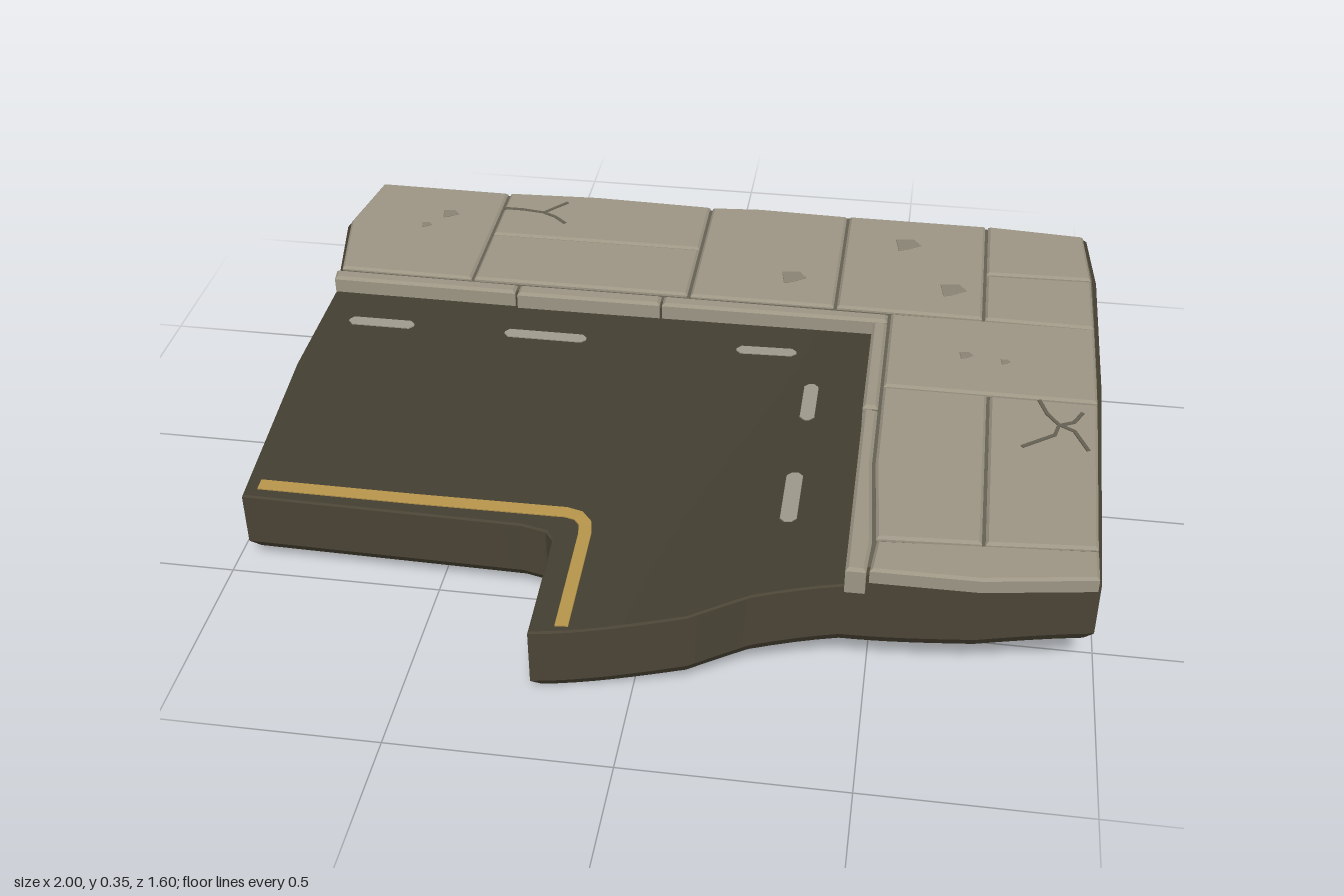
import * as THREE from 'three';
import { toCreasedNormals } from 'three/addons/utils/BufferGeometryUtils.js';

const MAX = 0.07;
const mat = (name, color) => {
  const m = new THREE.MeshStandardMaterial({ color });
  m.name = name;
  return m;
};
const ss = (v, a, b) => THREE.MathUtils.smoothstep(v, a, b);

// Height rules: the road sags towards the front, the pavement stays nearly level
const roadY = (x, z) => 0.29 - 0.03 * z - 0.087 * Math.max(0, z + 0.3) * ss(0.46 - x, 0, 0.68);
const walkY = (x, z) => 0.338 - 0.017 * z;
const underY = (x, z) => roadY(x, z) - 0.13 - 0.04 * ss(z, -0.5, 0.8) * ss(1 - x, 0, 0.55);
const shift = (f, d) => (x, z) => f(x, z) + d;

// Move an outline inwards by d, keeping its corners mitred
function inset(pts, d) {
  const n = pts.length;
  const normal = (a, b) => new THREE.Vector2(a.y - b.y, b.x - a.x).normalize();
  return pts.map((p, i) => {
    const n1 = normal(pts[(i + n - 1) % n], p), n2 = normal(p, pts[(i + 1) % n]);
    const k = d / Math.max(0.4, 1 + n1.dot(n2));
    return p.clone().add(n1.add(n2).multiplyScalar(k));
  });
}

// Solid between two height rules, from an [x, z] outline with bevelled rims.
// Material groups: 0 top, 1 sides and underside.
function plate(name, outline, top, bottom, bevel, materials, low = [0, 0]) {
  let pts = outline.map(([x, z]) => new THREE.Vector2(x, -z));
  if (THREE.ShapeUtils.area(pts) < 0) pts.reverse();
  const pos = [];
  const put = (p, y) => pos.push(p.x, y, -p.y);

  // Split the longest edge until triangles are small enough to follow the height rule
  const cap = (ring, f, flip) => {
    const split = (a, b, c) => {
      const e = [a.distanceTo(b), b.distanceTo(c), c.distanceTo(a)];
      const m = Math.max(...e);
      if (m > MAX) {
        if (e[1] === m) [a, b, c] = [b, c, a];
        else if (e[2] === m && e[0] !== m) [a, b, c] = [c, a, b];
        const h = a.clone().lerp(b, 0.5);
        split(a, h, c);
        split(h, b, c);
        return;
      }
      for (const p of flip ? [a, c, b] : [a, b, c]) put(p, f(p.x, -p.y));
    };
    for (const [a, b, c] of THREE.ShapeUtils.triangulateShape(ring, [])) split(ring[a], ring[b], ring[c]);
  };

  const topRing = inset(pts, bevel), lowRing = inset(pts, low[0]);
  cap(topRing, top, false);
  const topCount = pos.length / 3;
  const rings = [[lowRing, bottom], [pts, shift(bottom, low[1])], [pts, shift(top, -bevel)], [topRing, top]];
  for (let i = 0; i < pts.length; i++) {
    const j = (i + 1) % pts.length;
    let n = 1;
    while (topRing[i].distanceTo(topRing[j]) / n > MAX) n *= 2;
    for (let s = 0; s < n; s++) {
      for (let r = 0; r < 3; r++) {
        const at = ([ring, f], t) => {
          const p = ring[i].clone().lerp(ring[j], t);
          return [p, f(p.x, -p.y)];
        };
        const a = at(rings[r], s / n), b = at(rings[r], (s + 1) / n);
        const c = at(rings[r + 1], (s + 1) / n), d = at(rings[r + 1], s / n);
        for (const q of [a, b, c, a, c, d]) put(...q);
      }
    }
  }
  cap(lowRing, bottom, true);

  let geo = new THREE.BufferGeometry();
  geo.setAttribute('position', new THREE.Float32BufferAttribute(pos, 3));
  geo = toCreasedNormals(geo, 0.5);
  if (Array.isArray(materials)) {
    geo.clearGroups();
    geo.addGroup(0, topCount, 0);
    geo.addGroup(topCount, pos.length / 3 - topCount, 1);
  }
  const mesh = new THREE.Mesh(geo, materials);
  mesh.name = name;
  return mesh;
}

const rect = (x0, x1, z0, z1) => [[x0, z0], [x1, z0], [x1, z1], [x0, z1]];

// Outline of a band of given width along a path
function band(path, w) {
  const left = [], right = [];
  path.forEach(([x, z], i) => {
    const a = path[Math.max(0, i - 1)], b = path[Math.min(path.length - 1, i + 1)];
    const l = Math.hypot(b[0] - a[0], b[1] - a[1]);
    const nx = -(b[1] - a[1]) / l * w / 2, nz = (b[0] - a[0]) / l * w / 2;
    left.push([x + nx, z + nz]);
    right.unshift([x - nx, z - nz]);
  });
  return [...left, ...right];
}

export function createModel() {
  const asphalt = mat('asphalt', 0x433e31);
  const earth = mat('earth', 0x4a4435);
  const stone = mat('pavingStone', 0x9d9685);
  const joint = mat('stoneJoint', 0x646052);
  const chipped = mat('chippedStone', 0x898373);
  const white = mat('fadedWhitePaint', 0x9d988b);
  const yellow = mat('yellowPaint', 0xb4934a);

  const model = new THREE.Group();
  model.name = 'streetCorner';
  const group = (name) => {
    const g = new THREE.Group();
    g.name = name;
    model.add(g);
    return g;
  };

  // Road slab with earth sides and a notch at the front
  const outer = [[-1, -0.57], [-0.965, -0.79], [-0.6, -0.785], [-0.35, -0.8], [-0.02, -0.785], [0.1, -0.8],
    [0.7, -0.79], [0.98, -0.77], [1, -0.56], [1, -0.1], [0.98, 0.625], [0.73, 0.66]];
  model.add(plate('roadSlab', [...outer, [0.44, 0.66], [0.25, 0.7], [0.12, 0.755], [-0.22, 0.797], [-0.22, 0.52],
    [-0.24, 0.495], [-0.3, 0.482], [-0.96, 0.472], [-0.97, 0], [-0.95, -0.34]],
  roadY, underY, 0.004, [asphalt, earth], [0.02, 0.03]));

  // Raised L-shaped bed under the paving
  model.add(plate('pavementBed', [...outer, [0.452, 0.66], [0.452, -0.292], [-0.953, -0.292], [-0.955, -0.34]],
    shift(walkY, -0.01), shift(roadY, -0.01), 0.012, [joint, earth]));

  // Paving stones
  const paving = group('pavingStones');
  const stones = [
    [[-0.955, -0.778], [-0.6, -0.774], [-0.6, -0.332], [-0.945, -0.336], [-0.988, -0.57]],
    [[-0.592, -0.774], [-0.35, -0.785], [-0.036, -0.775], [-0.036, -0.557], [-0.592, -0.557]],
    rect(-0.592, -0.036, -0.55, -0.331),
    [[-0.028, -0.775], [0.1, -0.785], [0.338, -0.778], [0.338, -0.33], [-0.028, -0.33]],
    [[0.346, -0.778], [0.71, -0.776], [0.71, -0.326], [0.346, -0.329]],
    [[0.718, -0.776], [0.968, -0.758], [0.984, -0.545], [0.718, -0.537]],
    [[0.718, -0.53], [0.984, -0.538], [0.986, -0.322], [0.718, -0.326]],
    rect(0.484, 0.986, -0.316, -0.004),
    [[0.484, 0.004], [0.727, 0.004], [0.727, 0.549], [0.502, 0.562], [0.484, 0.3]],
    [[0.735, 0.004], [0.986, 0.004], [0.974, 0.53], [0.735, 0.548]],
    [[0.504, 0.57], [0.974, 0.538], [0.974, 0.63], [0.73, 0.668], [0.495, 0.669]],
  ];
  stones.forEach((s, i) => paving.add(
    plate('pavingStone', s, shift(walkY, (i % 3) * 0.0008), shift(walkY, -0.036), 0.006, stone)));

  // Kerb along the inner edge of the pavement
  const kerb = group('kerb');
  const kerbs = [
    [[-0.957, -0.327], [-0.475, -0.322], [-0.475, -0.285], [-0.952, -0.288]],
    [[-0.468, -0.322], [-0.1, -0.322], [-0.1, -0.281], [-0.468, -0.279]],
    [[-0.094, -0.322], [0.476, -0.318], [0.476, -0.283], [-0.094, -0.281]],
    rect(0.44, 0.476, -0.278, 0.085),
    [[0.442, 0.092], [0.476, 0.092], [0.476, 0.3], [0.494, 0.57], [0.488, 0.67], [0.444, 0.67]],
  ];
  for (const k of kerbs) kerb.add(plate('kerbStone', k, shift(walkY, -0.002), shift(roadY, -0.01), 0.007, stone));

  // Dashed white lane marks
  const marks = group('laneMarks');
  for (const [x, z, w, d] of [[-0.8, -0.176, 0.17, 0.028], [-0.375, -0.176, 0.21, 0.028], [0.185, -0.176, 0.15, 0.028],
    [0.31, 0.02, 0.035, 0.14], [0.303, 0.375, 0.038, 0.17]]) {
    const a = w / 2, b = d / 2, c = 0.011;
    marks.add(plate('laneMark', [[x - a + c, z - b], [x + a - c, z - b], [x + a, z - b + c], [x + a, z + b - c],
      [x + a - c, z + b], [x - a + c, z + b], [x - a, z + b - c], [x - a, z - b + c]],
    shift(roadY, 0.004), shift(roadY, -0.003), 0.001, white));
  }

  // Yellow edge line bending round the notch
  model.add(plate('yellowEdgeLine', band([[-0.93, 0.432], [-0.56, 0.434], [-0.205, 0.432], [-0.175, 0.44],
    [-0.156, 0.462], [-0.15, 0.495], [-0.15, 0.773]], 0.03),
  shift(roadY, 0.004), shift(roadY, -0.003), 0.001, yellow));

  // Cracks and chips in the stones
  const wear = group('stoneWear');
  const cracks = [
    [[-0.592, -0.688], [-0.54, -0.688], [-0.48, -0.68], [-0.425, -0.742]],
    [[-0.485, -0.682], [-0.445, -0.662], [-0.412, -0.632]],
    [[0.85, 0.008], [0.868, 0.06], [0.895, 0.1], [0.885, 0.14], [0.81, 0.195]],
    [[0.893, 0.098], [0.93, 0.12], [0.96, 0.19]],
    [[0.9, 0.1], [0.93, 0.085], [0.95, 0.045]],
  ];
  for (const c of cracks) wear.add(plate('crack', band(c, 0.009), shift(walkY, 0.003), shift(walkY, -0.002), 0.0005, joint));
  for (const [x, z, r] of [[-0.73, -0.64, 0.022], [-0.78, -0.575, 0.014], [0.51, -0.65, 0.034], [0.225, -0.45, 0.032],
    [0.635, -0.445, 0.034], [0.675, -0.155, 0.017], [0.77, -0.14, 0.012]]) {
    wear.add(plate('chip', [[x - r, z - r * 0.6], [x + r * 0.4, z - r * 0.8], [x + r, z], [x, z + r * 0.7], [x - r * 0.7, z + r]],
      shift(walkY, 0.003), shift(walkY, -0.002), 0.001, chipped));
  }
  return model;
}
